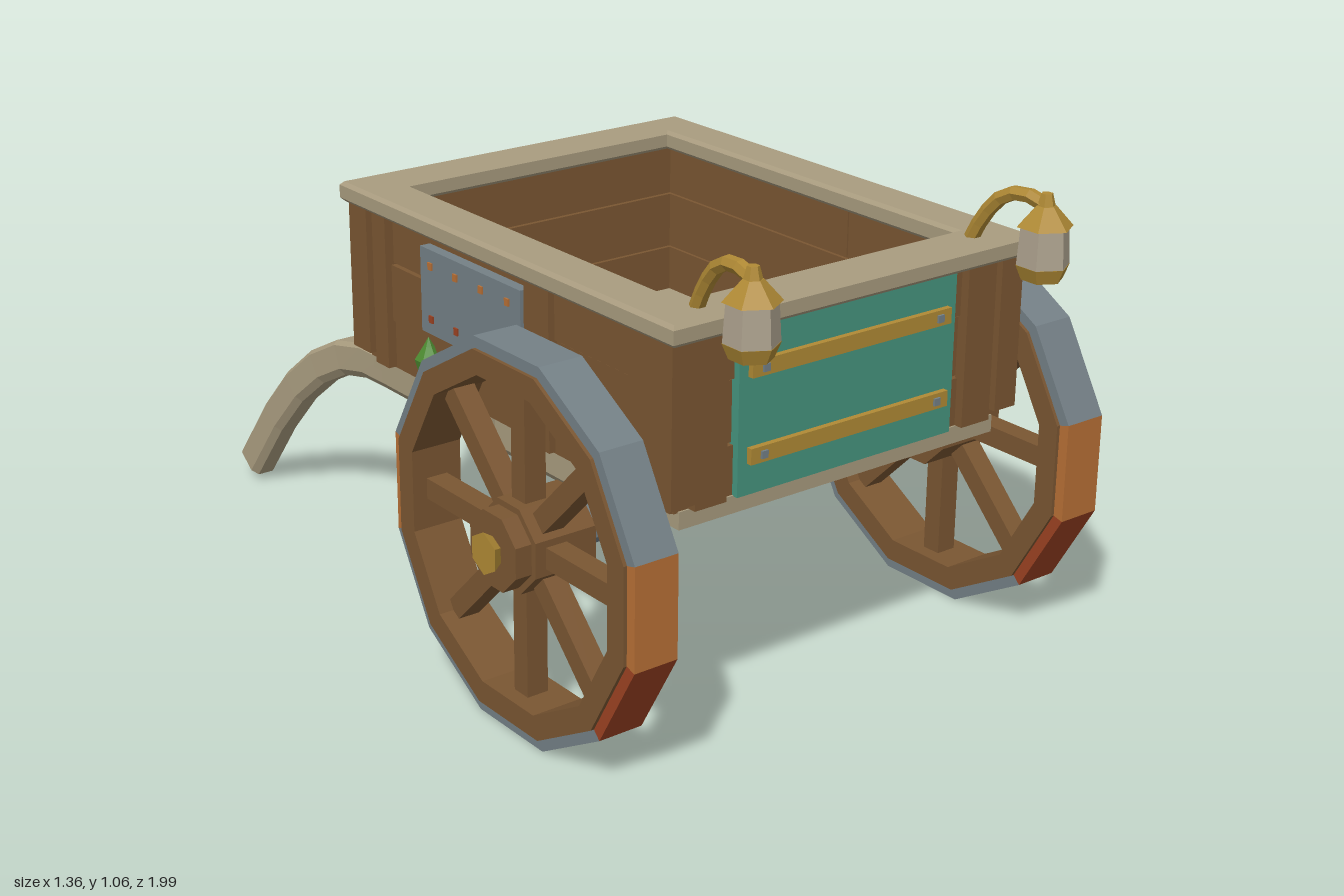
import * as THREE from 'three';

const mat = (name, color) => {
  const m = new THREE.MeshStandardMaterial({ color });
  m.name = name;
  return m;
};

export function createModel() {
  const lightWood = mat('pale wood', 0xa99c7f);
  const darkWood = mat('brown wood', 0x7a5632);
  const metal = mat('grey metal', 0x748086);
  const teal = mat('teal paint', 0x46957f);
  const gold = mat('brass', 0xb08a35);
  const orange = mat('orange rust', 0xb87036);
  const rust = mat('red rust', 0x9c4222);
  const green = mat('green crystal', 0x4c8a30);
  const glass = mat('lamp glass', 0xada28e);

  const root = new THREE.Group();
  root.name = 'handcart';

  // Adds a faceted mesh
  const add = (parent, name, geo, material) => {
    const g = geo.index ? geo.toNonIndexed() : geo;
    g.computeVertexNormals();
    const m = new THREE.Mesh(g, material);
    m.name = name;
    parent.add(m);
    return m;
  };
  // Box given by its limits on each axis
  const box = (name, material, x0, x1, y0, y1, z0, z1, parent = root) => {
    const g = new THREE.BoxGeometry(Math.abs(x1 - x0), y1 - y0, Math.abs(z1 - z0));
    g.translate((x0 + x1) / 2, (y0 + y1) / 2, (z0 + z1) / 2);
    return add(parent, name, g, material);
  };
  // Flat outline extruded along x, centred on x = 0
  const slab = (shape, width) => {
    const g = new THREE.ExtrudeGeometry(shape, { depth: width, bevelEnabled: false });
    g.translate(0, 0, -width / 2);
    return g.rotateY(Math.PI / 2);
  };
  const SIDES = 12, STEP = Math.PI * 2 / SIDES;
  const corner = (apothem, k) => {
    const r = apothem / Math.cos(STEP / 2), a = (k - 0.5) * STEP;
    return new THREE.Vector2(r * Math.cos(a), r * Math.sin(a));
  };
  const ring = (apothem) => Array.from({ length: SIDES }, (_, k) => corner(apothem, k));

  // Floor planks with gaps between them
  const joints = [-0.33, -0.125, 0, 0.155, 0.29, 0.47, 0.585, 0.79];
  for (let i = 0; i < joints.length - 1; i++)
    box('floorPlank', lightWood, -0.42, 0.42, 0.497, 0.535, joints[i] + 0.006, joints[i + 1] - 0.006);

  // Wall planks, alternating in thickness
  const rows = [0.53, 0.642, 0.775, 0.895];
  for (let i = 0; i < 3; i++) {
    const y0 = rows[i] + 0.002, y1 = rows[i + 1] - 0.002, t = i % 2 ? 0.006 : 0;
    for (const s of [-1, 1]) {
      box('sidePlankFront', darkWood, s * 0.385, s * (0.435 - t), y0, y1, 0.36, 0.775);
      box('sidePlankRear', darkWood, s * 0.385, s * (0.429 + t), y0, y1, -0.305, 0.356);
    }
    box('frontPlank', darkWood, -0.43, 0.43, y0, y1, 0.73, 0.78 - t);
    box('backPlank', darkWood, -0.43, 0.43, y0, y1, -0.315 + t, -0.27);
  }

  // Corner boards and side battens
  for (const s of [-1, 1]) {
    for (const [z0, z1] of [[0.74, 0.81], [-0.34, -0.27]])
      box('cornerPost', darkWood, s * 0.4, s * 0.46, 0.555, 0.893, z0, z1);
    for (const [z0, z1] of [[0.775, 0.8], [-0.33, -0.305]]) {
      box('cornerBoard', darkWood, s * 0.315, s * 0.394, 0.535, 0.893, z0, z1);
    }
    for (const [z0, z1] of [[0.665, 0.732], [-0.262, -0.21], [0.315, 0.4]])
      box('sideBatten', darkWood, s * 0.42, s * 0.45, 0.535, 0.893, z0, z1);
  }

  // Top rim frame
  const rim = new THREE.Shape([[-0.47, -0.825], [0.47, -0.825], [0.47, 0.36], [-0.47, 0.36]]
    .map(p => new THREE.Vector2(...p)));
  rim.holes.push(new THREE.Path([[-0.362, -0.71], [-0.362, 0.255], [0.362, 0.255], [0.362, -0.71]]
    .map(p => new THREE.Vector2(...p))));
  const rimGeo = new THREE.ExtrudeGeometry(rim, { depth: 0.029, bevelThickness: 0.008, bevelSize: 0.008, bevelOffset: -0.008, bevelSegments: 1 });
  rimGeo.rotateX(-Math.PI / 2).translate(0, 0.897, 0);
  add(root, 'topRim', rimGeo, lightWood);

  // Painted tailboard with brass bars
  box('tailboard', teal, -0.285, 0.285, 0.533, 0.887, 0.77, 0.795);
  for (const y of [0.797, 0.617]) {
    box('brassBar', gold, -0.262, 0.262, y - 0.017, y + 0.017, 0.79, 0.808);
    for (const x of [-0.23, 0.23]) box('barBolt', metal, x - 0.008, x + 0.008, y - 0.008, y + 0.008, 0.805, 0.813);
  }

  // Riveted patches on the walls and floor
  for (const s of [-1, 1]) {
    box('sidePatch', metal, s * 0.43, s * 0.455, 0.67, 0.86, -0.06, 0.31);
    for (const z of [0.265, 0.17, 0.075, -0.02]) {
      box('rivet', orange, s * 0.45, s * 0.459, 0.816, 0.832, z - 0.007, z + 0.007);
      box('rivet', rust, s * 0.45, s * 0.459, 0.697, 0.713, z - 0.007, z + 0.007);
    }
  }
  box('innerPatch', metal, -0.22, 0.22, 0.66, 0.86, 0.715, 0.735);
  for (const x of [-0.19, -0.065, 0.065, 0.19])
    for (const y of [0.7, 0.82]) box('rivet', rust, x - 0.007, x + 0.007, y - 0.007, y + 0.007, 0.708, 0.717);
  box('floorPatch', metal, -0.18, 0.18, 0.53, 0.548, 0.41, 0.68);
  for (const x of [-0.14, 0, 0.14]) box('rivet', rust, x - 0.007, x + 0.007, 0.545, 0.555, 0.457, 0.471);
  box('backPatch', rust, -0.25, 0.12, 0.67, 0.86, -0.335, -0.31);
  for (const x of [-0.215, -0.065, 0.085])
    for (const y of [0.7, 0.83]) box('rivet', orange, x - 0.006, x + 0.006, y - 0.006, y + 0.006, -0.34, -0.333);

  // Small crystals on the sides and back
  for (const [x, y, z] of [[0.44, 0.605, -0.06], [-0.44, 0.605, -0.06], [0.25, 0.595, -0.32], [-0.24, 0.595, -0.32]]) {
    const g = new THREE.LatheGeometry([[0, -0.043], [0.024, -0.03], [0.031, -0.005], [0.012, 0.025], [0, 0.046]]
      .map(p => new THREE.Vector2(...p)), 6);
    add(root, 'crystal', g, green).position.set(x, y, z);
  }

  // Axle
  const axle = new THREE.CylinderGeometry(0.045, 0.045, 0.98, 8).rotateY(Math.PI / 8).rotateZ(Math.PI / 2);
  add(root, 'axle', axle, metal).position.set(0, 0.415, 0.5);

  // Wheels: hub, spokes, wooden rim and segmented tyre
  for (const s of [-1, 1]) {
    const wheel = new THREE.Group();
    wheel.name = s > 0 ? 'leftWheel' : 'rightWheel';
    wheel.position.set(s * 0.571, 0.415, 0.5);
    root.add(wheel);

    const wood = new THREE.Shape(ring(0.386));
    wood.holes.push(new THREE.Path(ring(0.335).reverse()));
    add(wheel, 'wheelRim', slab(wood, 0.118), darkWood);

    const tints = { 0: orange, 6: orange, 7: rust };
    for (let k = 0; k < SIDES; k++) {
      const seg = new THREE.Shape([corner(0.384, k), corner(0.41, k), corner(0.41, k + 1), corner(0.384, k + 1)]);
      add(wheel, 'tyreSegment', slab(seg, 0.102), tints[k] || metal);
    }
    for (let k = 0; k < 8; k++) {
      const g = new THREE.BoxGeometry(0.05, 0.28, 0.046).translate(0, 0.21, 0).rotateX(k * Math.PI / 4);
      add(wheel, 'spoke', g, darkWood);
    }
    const turned = (name, rOut, rIn, x0, x1, sides, material) => {
      const g = new THREE.CylinderGeometry(rOut, rIn, x1 - x0, sides);
      g.rotateY(Math.PI / sides).rotateZ(-s * Math.PI / 2).translate(s * (x0 + x1) / 2, 0, 0);
      add(wheel, name, g, material);
    };
    turned('hub', 0.099, 0.099, -0.096, 0.05, 8, darkWood);
    turned('hubCollar', 0.085, 0.085, 0.05, 0.088, 8, darkWood);
    turned('hubCap', 0.046, 0.03, 0.085, 0.11, 6, gold);
  }

  // Pulling shafts: a chamfered section swept along a curve
  const section = [[-0.033, -0.025], [-0.02, -0.042], [0.02, -0.042], [0.033, -0.025],
    [0.033, 0.032], [0.023, 0.042], [-0.023, 0.042], [-0.033, 0.032]];
  const path = [[0.345, 0.463, 0.61], [0.345, 0.463, -0.36], [0.348, 0.463, -0.45], [0.352, 0.442, -0.55],
    [0.359, 0.39, -0.65], [0.367, 0.31, -0.75], [0.375, 0.2, -0.85], [0.384, 0.045, -0.965]].map(p => new THREE.Vector3(...p));
  for (const s of [-1, 1]) {
    const n = section.length, pos = [], idx = [];
    path.forEach((p, i) => {
      const t = path[Math.min(i + 1, path.length - 1)].clone().sub(path[Math.max(i - 1, 0)]);
      const len = Math.hypot(t.y, t.z);
      for (const [u, v] of section) pos.push(s * p.x + u, p.y - v * t.z / len, p.z + v * t.y / len);
      if (i) for (let j = 0; j < n; j++) {
        const a = (i - 1) * n + j, b = (i - 1) * n + (j + 1) % n;
        idx.push(a, b, b + n, a, b + n, a + n);
      }
    });
    const last = (path.length - 1) * n;
    for (let j = 1; j < n - 1; j++) idx.push(0, j + 1, j, last, last + j, last + j + 1);
    // Section runs anticlockwise seen from the front, so sides are turned outward
    for (let i = 0; i < idx.length; i += 3) [idx[i + 1], idx[i + 2]] = [idx[i + 2], idx[i + 1]];
    const g = new THREE.BufferGeometry();
    g.setAttribute('position', new THREE.Float32BufferAttribute(pos, 3));
    g.setIndex(idx);
    add(root, s > 0 ? 'leftShaft' : 'rightShaft', g, lightWood);
  }

  // Lanterns on curved brass arms
  for (const s of [-1, 1]) {
    const lantern = new THREE.Group();
    lantern.name = s > 0 ? 'leftLantern' : 'rightLantern';
    root.add(lantern);
    const arm = new THREE.CatmullRomCurve3([[0.36, 0.93, 0.755], [0.363, 0.985, 0.785], [0.368, 1.035, 0.83],
      [0.373, 1.052, 0.88], [0.378, 1.04, 0.935]].map(p => new THREE.Vector3(s * p[0], p[1], p[2])));
    add(lantern, 'lanternArm', new THREE.TubeGeometry(arm, 6, 0.016, 6), gold);
    const tier = (name, rTop, rBottom, y0, y1, material) =>
      add(lantern, name, new THREE.CylinderGeometry(rTop, rBottom, y1 - y0, 6), material)
        .position.set(s * 0.378, (y0 + y1) / 2, 0.938);
    tier('lanternKnob', 0.012, 0.02, 1.035, 1.065, gold);
    tier('lanternRoof', 0.02, 0.058, 0.997, 1.04, gold);
    tier('lanternGlass', 0.05, 0.055, 0.918, 0.997, glass);
    tier('lanternBase', 0.056, 0.043, 0.887, 0.918, gold);
  }
  return root;
}
